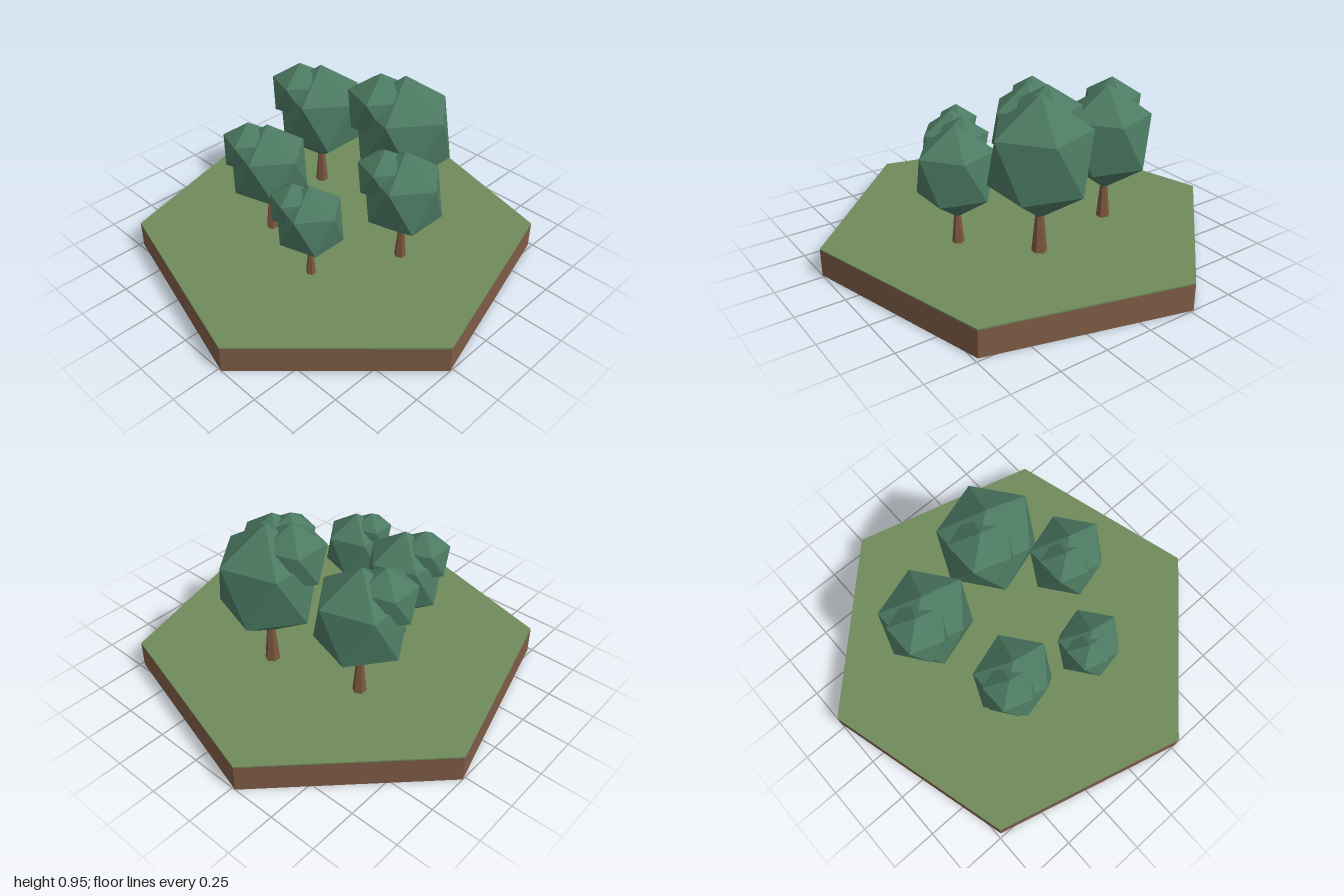
import * as THREE from 'three';

const mat = (name, color) => {
  const m = new THREE.MeshStandardMaterial({ color, flatShading: true });
  m.name = name;
  return m;
};

export function createModel() {
  const soil = mat('soil brown', 0x7d5b45);
  const grass = mat('grass green', 0x6f8b5c);
  const bark = mat('bark brown', 0x7d573f);
  const leaves = mat('leaf green', 0x4c7a62);

  const model = new THREE.Group();
  model.name = 'treeIsland';
  const add = (parent, name, geometry, material, x, y, z) => {
    const mesh = new THREE.Mesh(geometry, material);
    mesh.name = name;
    mesh.position.set(x, y, z);
    parent.add(mesh);
    return mesh;
  };

  // Six-sided ground: thick soil slab with a thin grass sheet on top
  const radius = 1.035, soilTop = 0.14, ground = 0.147;
  const slab = (h) => new THREE.CylinderGeometry(radius, radius, h, 6).rotateY(Math.PI / 12);
  add(model, 'soilSlab', slab(soilTop), soil, 0, soilTop / 2, 0);
  add(model, 'grassTop', slab(ground - soilTop), grass, 0, (ground + soilTop) / 2, 0);

  // Twenty-sided leaf ball standing on one corner, with an upper corner towards +x
  const leafBall = new THREE.IcosahedronGeometry(1, 0)
    .rotateZ(-Math.atan(2 / (1 + Math.sqrt(5))));
  // Tapered trunk, base at the origin
  const trunk = new THREE.CylinderGeometry(0.06, 0.137, 0.85, 6).translate(0, 0.425, 0);

  // Trees: x, z and crown radius; every tree is the same shape at its own scale
  const trees = [
    [-0.356, -0.243, 0.255],
    [0.135, -0.352, 0.283],
    [0.408, -0.05, 0.219],
    [-0.222, 0.25, 0.221],
    [0.188, 0.36, 0.184],
  ];
  for (const [x, z, r] of trees) {
    const tree = new THREE.Group();
    tree.name = 'tree';
    tree.position.set(x, ground, z);
    tree.scale.setScalar(r);
    add(tree, 'trunk', trunk, bark, 0, 0, 0);
    add(tree, 'crown', leafBall, leaves, 0, 1.72, 0).scale.set(1, 1.1, 0.95);
    add(tree, 'sideCrown', leafBall, leaves, -0.34, 2.19, 0.27).scale.setScalar(0.65);
    model.add(tree);
  }
  return model;
}
